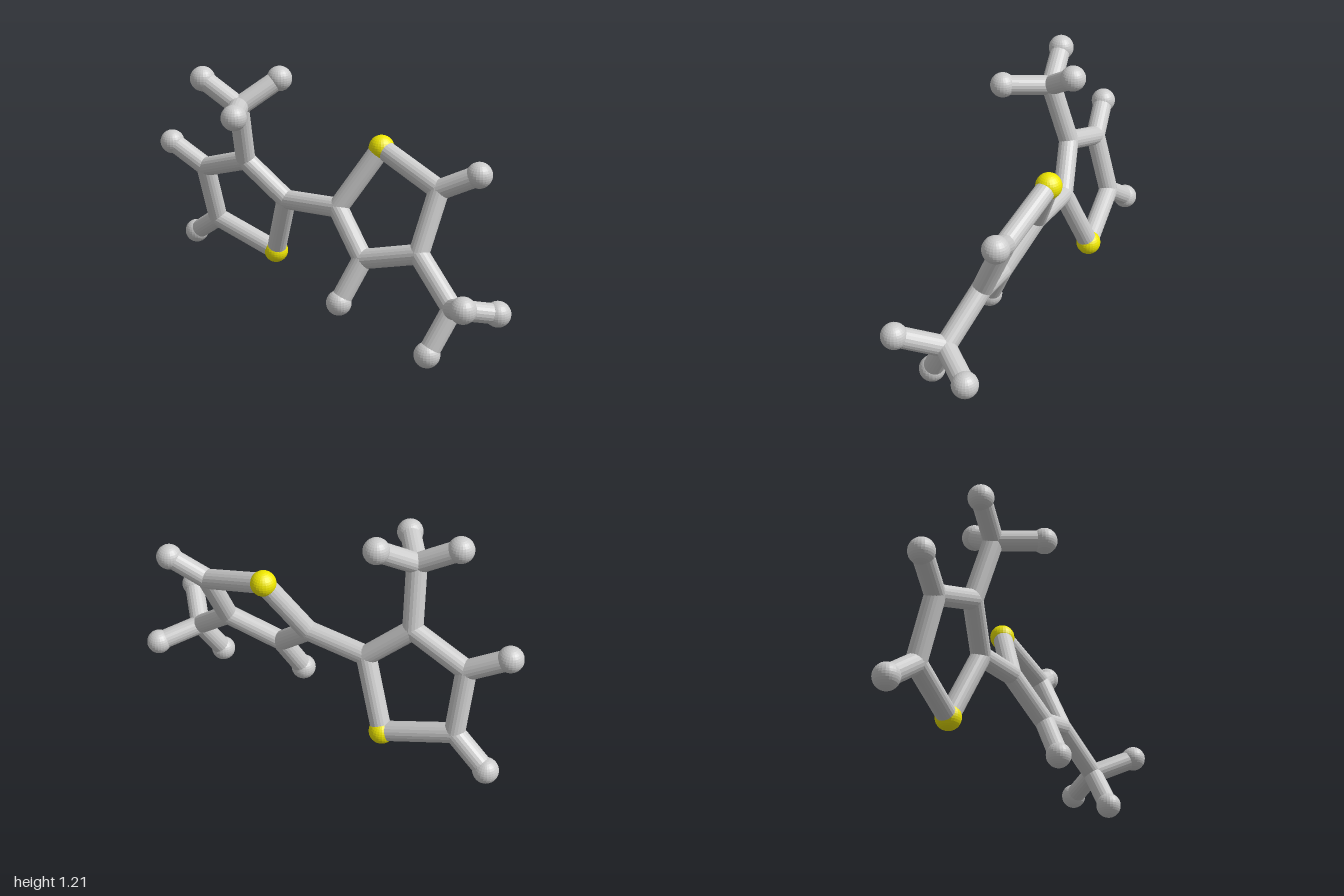
import * as THREE from 'three';

const BALL = 0.062, ROD = 0.049;
const grey = new THREE.MeshStandardMaterial({ color: 0xcccccc, flatShading: true });
const yellow = new THREE.MeshStandardMaterial({ color: 0xf0e800, flatShading: true });

// Each half: ring atoms in bonding order (first is the yellow one), then side atoms.
const halves = [
  {
    name: 'leftRing',
    ring: [[-0.393, 0.192, -0.187], [-0.255, 0.535, -0.1], [-0.46, 0.72, -0.035], [-0.75, 0.615, -0.06], [-0.75, 0.305, -0.145]],
    ends: [[3, [-0.94, 0.725, -0.02]], [4, [-0.93, 0.175, -0.173]]],
    branchFrom: 2,
    branch: [-0.425, 1.025, 0.05],
    tips: [[-0.62, 1.14, 0.087], [-0.305, 1.148, -0.118], [-0.29, 1.043, 0.248]],
  },
  {
    name: 'rightRing',
    ring: [[0.217, 0.867, -0.238], [0.06, 0.565, -0.102], [0.265, 0.375, -0.022], [0.55, 0.46, -0.065], [0.57, 0.745, -0.193]],
    ends: [[2, [0.2, 0.165, 0.08]], [4, [0.75, 0.842, -0.243]]],
    branchFrom: 3,
    branch: [0.78, 0.27, 0.003],
    tips: [[0.93, 0.375, 0.172], [0.922, 0.218, -0.172], [0.72, 0.064, 0.112]],
  },
];

function ball(name, p, radius, material = grey) {
  const mesh = new THREE.Mesh(new THREE.SphereGeometry(radius, 24, 16), material);
  mesh.name = name;
  mesh.position.set(...p);
  return mesh;
}

// Rod between two points
function rod(name, a, b) {
  const start = new THREE.Vector3(...a), end = new THREE.Vector3(...b);
  const dir = end.clone().sub(start);
  const mesh = new THREE.Mesh(new THREE.CylinderGeometry(ROD, ROD, dir.length(), 20), grey);
  mesh.name = name;
  mesh.position.copy(start).add(end).multiplyScalar(0.5);
  mesh.quaternion.setFromUnitVectors(new THREE.Vector3(0, 1, 0), dir.normalize());
  return mesh;
}

function buildHalf({ name, ring, ends, branchFrom, branch, tips }) {
  const group = new THREE.Group();
  group.name = name;

  // Five-sided ring with one yellow ball
  ring.forEach((p, i) => {
    group.add(i === 0 ? ball('yellowBall', p, BALL, yellow) : ball('ringJoint', p, ROD));
    group.add(rod('ringRod', p, ring[(i + 1) % ring.length]));
  });

  // Single balls on the ring
  for (const [i, p] of ends) {
    group.add(rod('sideRod', ring[i], p), ball('endBall', p, BALL));
  }

  // Three-armed branch
  group.add(rod('branchRod', ring[branchFrom], branch), ball('branchJoint', branch, ROD));
  for (const p of tips) {
    group.add(rod('branchArm', branch, p), ball('branchBall', p, BALL));
  }
  return group;
}

export function createModel() {
  const model = new THREE.Group();
  model.name = 'moleculeModel';
  for (const half of halves) model.add(buildHalf(half));
  // Rod joining the two rings
  model.add(rod('linkRod', halves[0].ring[1], halves[1].ring[1]));
  return model;
}
